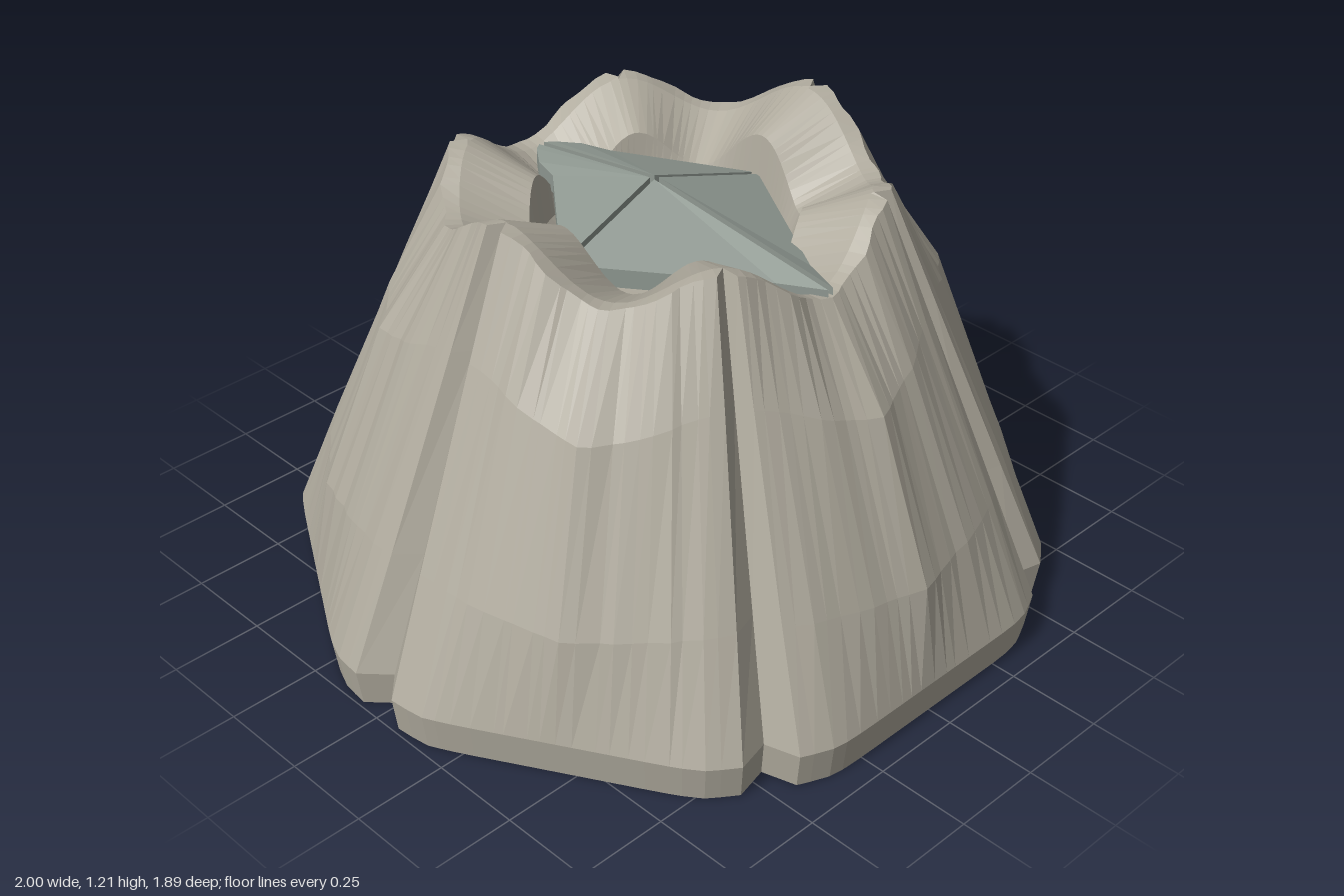
import * as THREE from 'three';

const RAD = Math.PI / 180;
const COLS = 20;
const lerp = THREE.MathUtils.lerp;

function seeded(seed) {
  let s = seed;
  return () => (s = (s * 16807) % 2147483647) / 2147483647;
}

// Grid surface from rows of points, row order running upward on the outside
function gridGeometry(rows) {
  const n = rows[0].length, index = [];
  for (let j = 0; j < rows.length - 1; j++)
    for (let i = 0; i < n - 1; i++) {
      const a = j * n + i, up = a + n;
      index.push(a, up, a + 1, a + 1, up, up + 1);
    }
  const g = new THREE.BufferGeometry().setFromPoints(rows.flat());
  g.setIndex(index);
  g.computeVertexNormals();
  return g;
}

const polar = (deg, r, y) =>
  new THREE.Vector3(r * Math.cos(deg * RAD), y, r * Math.sin(deg * RAD));

// Wavy rim: high at the grooves, low in the middle of each plate
function rimHeight(deg) {
  const side = Math.cos(deg * RAD) ** 2;
  const peak = lerp(1.157, 1.21, side);
  const valley = lerp(1.03, 1.095, side);
  return lerp(valley, peak, (1 + Math.cos(6 * deg * RAD)) / 2);
}

// Rounded hexagon footprint, phi measured from the plate's middle
function baseRadius(phi) {
  const flat = 0.945 / Math.cos(phi * RAD);
  const excess = Math.max(0, Math.abs(phi) - 14);
  return Math.min(flat - 0.00012 * excess ** 2, 1.003);
}

// One wall plate with half a groove on either side: bulging middle, straight edges
function plateRows(middle, rand) {
  const levels = [
    { y: 0, mid: 1, edge: 1 }, { y: 0.1, mid: 1, edge: 1 },
    { f: 0.28, mid: 0.88, edge: 0.72 }, { f: 0.73, mid: 0.456, edge: 0.27 },
    { f: 1, mid: 0, edge: 0 },
  ];
  const flutes = Array.from({ length: COLS + 1 }, () => rand() - 0.5);
  const shifts = Array.from({ length: COLS + 1 }, () => (rand() - 0.5) * 0.05);
  return levels.map((lv, j) => {
    const row = [];
    for (let i = -1; i <= COLS + 1; i++) {
      const groove = i < 0 || i > COLS;
      const inner = !groove && i > 0 && i < COLS;
      let u = THREE.MathUtils.clamp((2 * i) / COLS - 1, -1, 1);
      if (inner) u += shifts[i];
      const t = lv.f ?? 0;
      const phi = groove ? 30 * u : u * lerp(26, 27.5, t);
      const deg = middle + phi;
      const y = lv.f ? 0.1 + lv.f * (rimHeight(deg) - 0.1) : lv.y;
      const k = lerp(lv.mid, lv.edge, 1 - (1 - Math.abs(u)) ** 1.4);
      const rb = groove ? 0.935 : baseRadius(phi);
      const rt = groove ? 0.518 : 0.55 + 0.006 * Math.cos(4 * Math.PI * u);
      let r = lerp(rt, rb, k);
      if (inner && j > 1) r += flutes[i] * 0.01 * (1 - 0.6 * t);
      if (j === 0) r *= 0.985;
      row.push(polar(deg, r, y));
    }
    return row;
  });
}

// Thick piece with a folded top, from a loop of corners
function slab(corners, depth) {
  const n = corners.length;
  const top = corners.map(c => new THREE.Vector3(...c));
  const low = top.map(p => p.clone().setY(p.y - depth));
  const index = [];
  for (let i = 1; i < n - 1; i++) index.push(0, i, i + 1, n, n + i + 1, n + i);
  for (let i = 0; i < n; i++) {
    const k = (i + 1) % n;
    index.push(i, n + i, k, k, n + i, n + k);
  }
  const g = new THREE.BufferGeometry().setFromPoints([...top, ...low]);
  g.setIndex(index);
  g.computeVertexNormals();
  return g;
}

export function createModel() {
  const model = new THREE.Group();
  const shell = new THREE.MeshStandardMaterial({ color: 0xb0ab9e, flatShading: true, side: THREE.DoubleSide });
  const lidMat = new THREE.MeshStandardMaterial({ color: 0x8f9891, flatShading: true, side: THREE.DoubleSide });
  const add = (parent, name, geometry, material) => {
    const m = new THREE.Mesh(geometry, material);
    m.name = name;
    parent.add(m);
    return m;
  };

  // Six wall plates
  const rand = seeded(4217);
  const walls = new THREE.Group();
  walls.name = 'wallPlates';
  model.add(walls);
  const rim = [], foot = [];
  for (let p = 0; p < 6; p++) {
    const rows = plateRows(30 + 60 * p, rand);
    add(walls, 'wallPlate' + (p + 1), gridGeometry(rows), shell);
    rim.push(...rows[rows.length - 1]);
    foot.push(...rows[0]);
  }

  // Flat underside
  add(model, 'underside', gridGeometry([foot.map(() => new THREE.Vector3()), foot]), shell);

  // Lip and funnel inside the rim: ridges follow the rim's peaks, closed at the bottom
  const funnelRow = (r, height) => rim.map(p => {
    const deg = Math.atan2(p.z, p.x) / RAD;
    return polar(deg, r, height(deg));
  });
  add(model, 'innerFunnel', gridGeometry([
    rim,
    funnelRow(0.51, d => rimHeight(d) - 0.004),
    funnelRow(0.34, d => rimHeight(d) - 0.08),
    funnelRow(0.32, () => 0.95),
    funnelRow(0.2, () => 0.8),
    funnelRow(0, () => 0.78),
  ]), shell);

  // Four lid plates, split by a long seam and a cross seam
  const lid = new THREE.Group();
  lid.name = 'lid';
  model.add(lid);
  const g = 0.008;
  const frontPlate = slab([[g, 1.12, -0.035], [g, 1.05, 0.55], [0.06, 1.04, 0.43], [0.335, 1.02, -0.005]], 0.05);
  const backPlate = slab([[g, 1.12, -0.05], [0.335, 1.02, -0.02], [0.1, 1.06, -0.31],
    [0.075, 1.06, -0.39], [0.03, 1.06, -0.45], [g, 1.06, -0.465]], 0.05);
  for (const s of [1, -1]) {
    const side = s > 0 ? 'Left' : 'Right';
    add(lid, 'lidFront' + side, frontPlate, lidMat).scale.x = s;
    add(lid, 'lidBack' + side, backPlate, lidMat).scale.x = s;
  }
  return model;
}
